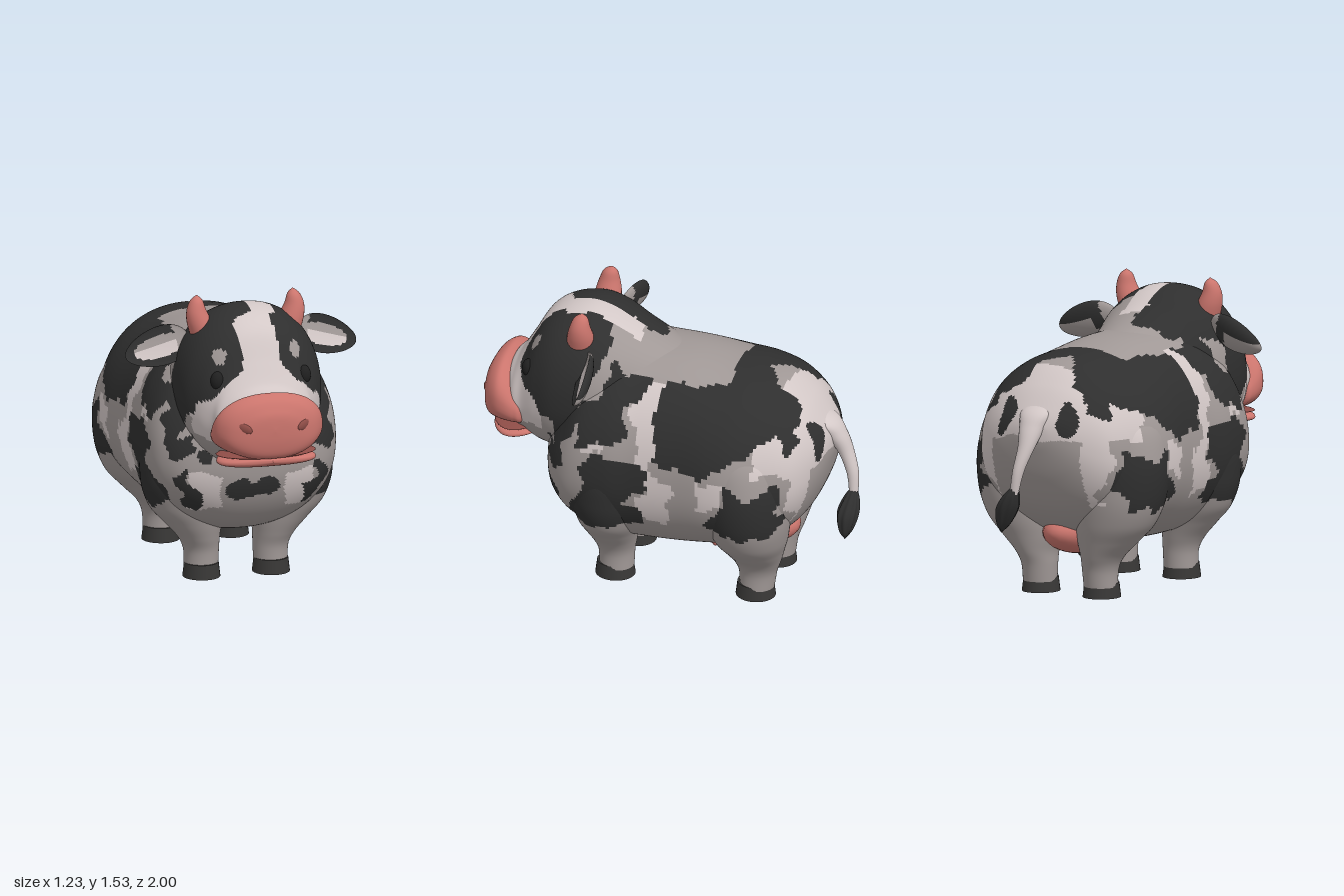
import * as THREE from 'three';

const mat = (name, color) => {
  const m = new THREE.MeshStandardMaterial({ color });
  m.name = name;
  return m;
};

// Cubic interpolation through all columns of a station table
function smoothRows(rows, steps) {
  const out = [], at = i => rows[Math.min(rows.length - 1, Math.max(0, i))];
  for (let i = 0; i < rows.length - 1; i++) {
    const a = at(i - 1), b = at(i), c = at(i + 1), d = at(i + 2);
    for (let k = 0; k < steps; k++) {
      const t = k / steps;
      out.push(b.map((p, j) => {
        const quad = 2 * a[j] - 5 * p + 4 * c[j] - d[j];
        const cube = 3 * (p - c[j]) + d[j] - a[j];
        return p + 0.5 * t * (c[j] - a[j] + t * (quad + t * cube));
      }));
    }
  }
  out.push(rows[rows.length - 1]);
  return out;
}

// Skin of closed rings; point(row, angle) gives one surface point
function loft(rows, steps, n, point) {
  const pos = [], idx = [], rings = smoothRows(rows, steps);
  rings.forEach((r, i) => {
    for (let j = 0; j < n; j++) {
      pos.push(...point(r, (j / n) * Math.PI * 2));
      if (i === rings.length - 1) continue;
      const a = i * n + j, b = i * n + (j + 1) % n;
      idx.push(a, b, a + n, b, b + n, a + n);
    }
  });
  const g = new THREE.BufferGeometry();
  g.setAttribute('position', new THREE.Float32BufferAttribute(pos, 3));
  g.setIndex(idx);
  g.computeVertexNormals();
  return g;
}

// Rings along z: [z, bottom, top, halfWidth]
const alongZ = (rows, steps, n, power = 0.92) => loft(rows, steps, n, ([z, yb, yt, w], a) => {
  const bend = v => Math.sign(v) * Math.abs(v) ** power;
  const ym = yb + 0.46 * (yt - yb), s = bend(Math.sin(a));
  return [Math.max(0, w) * bend(Math.cos(a)), ym + s * (s > 0 ? yt - ym : ym - yb), z];
});

// Rings along y: [y, centreX, centreZ, radiusX, radiusZ]
const alongY = (rows, steps, n, side = 1, ridge = 0) => loft(rows, steps, n, ([y, cx, cz, rx, rz], a) => {
  const k = 1 + ridge * Math.cos(8 * a);
  return [side * cx + Math.max(0, rx) * k * Math.cos(a), y, cz - Math.max(0, rz) * k * Math.sin(a)];
});

// Sort quads (triangle pairs) into material groups by their centre
function paint(g, classify) {
  const p = g.attributes.position, src = Array.from(g.index.array), sets = [[], [], []];
  for (let i = 0; i < src.length; i += 6) {
    const quad = src.slice(i, i + 6);
    const mean = f => quad.reduce((sum, k) => sum + f(k), 0) / 6;
    sets[classify(mean(k => p.getX(k)), mean(k => p.getY(k)), mean(k => p.getZ(k)))].push(...quad);
  }
  g.setIndex(sets.flat());
  let start = 0;
  sets.forEach((s, i) => { if (s.length) g.addGroup(start, s.length, i); start += s.length; });
  return g;
}

const inside = (poly, u, v) => {
  let hit = false;
  poly.forEach(([a, b], i) => {
    const [c, d] = poly[(i + 1) % poly.length];
    if ((b > v) !== (d > v) && u < ((c - a) * (v - b)) / (d - b) + a) hit = !hit;
  });
  return hit;
};

// Dark patches seen from the side (z, y)
const sideDark = [
  [[0.4, 0.77], [0.3, 0.85], [0.1, 0.84], [0.02, 0.8], [0.04, 0.68], [0.16, 0.6], [0.06, 0.54], [0.05, 0.45], [0.2, 0.44], [0.3, 0.4], [0.46, 0.46], [0.45, 0.56], [0.34, 0.64]],
  [[0.28, 1.28], [0.18, 1.31], [0.05, 1.24], [0.08, 1.14], [0.16, 1.1], [0.14, 0.97], [0.25, 0.92], [0.4, 0.88], [0.42, 1.05], [0.3, 1.12]],
  [[-0.02, 1.2], [-0.2, 1.3], [-0.58, 1.25], [-0.7, 1.14], [-0.76, 1.0], [-0.7, 0.95], [-0.62, 1.05], [-0.5, 0.97], [-0.4, 0.9], [-0.27, 0.82], [-0.02, 0.86], [0, 1.05]],
  [[-0.4, 0.79], [-0.52, 0.74], [-0.66, 0.8], [-0.67, 0.62], [-0.62, 0.47], [-0.54, 0.52], [-0.45, 0.47], [-0.3, 0.53], [-0.28, 0.58], [-0.38, 0.63]],
  [[0.59, 0.66], [0.54, 0.62], [0.5, 0.44], [0.54, 0.4], [0.59, 0.56]],
  [[0.6, 0.84], [0.52, 0.82], [0.48, 0.75], [0.54, 0.7], [0.6, 0.75]],
];
const headDark = [[0.82, 1.18], [0.8, 1.5], [0.5, 1.52], [0.34, 1.5], [0.27, 1.36], [0.38, 1.22], [0.42, 1.0], [0.48, 0.85], [0.5, 0.77], [0.57, 0.84], [0.63, 0.95], [0.73, 1.06]];
// Dark patches seen from above (x, z)
const saddle = [[-0.01, -0.34], [0.22, -0.33], [0.25, -0.2], [0.38, -0.02], [0.55, -0.02], [0.55, -0.5], [0.4, -0.62], [0.32, -0.74], [0.15, -0.7], [0.1, -0.58], [-0.01, -0.49]];
const crown = [[-0.3, 0.3], [-0.25, 0.1], [-0.05, 0.06], [0, 0.08], [0, 0.55], [-0.1, 0.6], [-0.4, 0.5]];
// Pale patches seen from the side (z, y)
const sideLight = [
  [[0.16, 1.26], [0.0, 1.33], [-0.04, 1.1], [0.0, 0.8], [-0.12, 0.74], [-0.08, 0.5], [0.1, 0.52], [0.02, 0.7], [0.08, 0.9]],
  [[-0.6, 1.24], [-0.72, 1.16], [-0.88, 0.9], [-0.8, 0.55], [-0.7, 0.5], [-0.7, 0.9], [-0.55, 0.84], [-0.52, 0.95]],
  [[-0.25, 0.8], [-0.4, 0.82], [-0.36, 0.68], [-0.26, 0.62]],
  [[0.36, 0.9], [0.26, 0.9], [0.26, 0.86], [0.36, 0.86]],
];

// Coat pattern: 0 grey, 1 pale, 2 dark
function coat(px, py, pz) {
  const x = px + 0.012 * Math.sin(31 * pz + 14 * py);
  const y = py + 0.014 * Math.sin(27 * pz + 19 * px) + 0.008 * Math.sin(61 * pz);
  const z = pz + 0.014 * Math.sin(29 * py + 11 * px) + 0.008 * Math.sin(57 * py);
  const ax = Math.abs(x), flank = ax > 0.27;
  const blaze = z > 0.55 ? 0.1 + 0.9 * Math.max(0, 1.22 - y) : (x < 0 ? 0 : 0.12);
  if (ax > blaze && inside(headDark, z, y)) {
    const fleck = z > 0.5 && Math.hypot((ax - 0.2) * 1.5, y - 1.28) < 0.045;
    return fleck ? 0 : 2;
  }
  if (y > 1.25 && inside(crown, x, z)) return 2;
  if (z < 0.05 && y > 1.05 && inside(saddle, ax, z)) return 2;
  if (flank && sideDark.some(p => inside(p, z, y))) return 2;
  // chest patch, throat spots and rump streaks
  if (z > 0.4 && y < 0.62 && (Math.hypot(ax - 0.08, (y - 0.55) * 1.1) < 0.065 || (ax < 0.1 && Math.abs(y - 0.525) < 0.04))) return 2;
  if (z > 0.45 && Math.hypot(ax - 0.27, y - 0.71) < 0.035) return 2;
  if (z < -0.6 && Math.hypot(ax - 0.18, (y - 0.96 + 0.5 * (ax - 0.18)) * 0.6) < 0.055) return 2;
  // pale blaze, cheeks, poll, chest and rump
  if (z > 0.45 && ax < blaze + 0.1 && y > 0.95) return 1;
  if (z > 0.62 && y > 0.85) return 1;
  if (z > 0.1 && z < 0.5 && x > 0 && x < 0.12 && y > 1.35) return 1;
  if (z > 0.4 && y < 0.63 && y > 0.43 && ax > 0.17 && ax < 0.33) return 1;
  if (z < -0.62 && y > 0.85) return 1;
  return flank && sideLight.some(p => inside(p, z, y)) ? 1 : 0;
}

export function createModel() {
  const cow = new THREE.Group();
  cow.name = 'cow';
  const grey = mat('coatGrey', 0xa09896), pale = mat('coatPale', 0xd3c8c7), dark = mat('coatDark', 0x2f2f2f);
  const pink = mat('pinkSkin', 0xcb756d), deep = mat('nostrilPink', 0x8f4d47);
  const hoofMat = mat('hoofGrey', 0x383736), eyeMat = mat('eyeBlack', 0x202020);
  const hide = [grey, pale, dark];
  const add = (name, g, m) => {
    const mesh = new THREE.Mesh(g, m);
    mesh.name = name;
    cow.add(mesh);
    return mesh;
  };
  const ball = (name, m, pos, scale) => {
    const mesh = add(name, new THREE.SphereGeometry(1, 24, 16), m);
    mesh.position.set(...pos);
    mesh.scale.set(...scale);
    return mesh;
  };

  // Barrel body
  add('body', paint(alongZ([
    [-0.85, 0.86, 0.9, 0], [-0.84, 0.79, 0.95, 0.11], [-0.8, 0.64, 1.02, 0.25], [-0.72, 0.48, 1.12, 0.38],
    [-0.6, 0.36, 1.21, 0.46], [-0.45, 0.29, 1.245, 0.525], [-0.3, 0.27, 1.26, 0.535], [-0.1, 0.24, 1.29, 0.51],
    [0.1, 0.23, 1.3, 0.5], [0.25, 0.24, 1.3, 0.51], [0.4, 0.28, 1.24, 0.495], [0.5, 0.34, 1.1, 0.45],
    [0.58, 0.44, 0.95, 0.36], [0.63, 0.56, 0.82, 0.2], [0.645, 0.69, 0.7, 0]], 11, 144), coat), hide);

  // Head and neck
  add('head', paint(alongZ([
    [-0.12, 0.95, 1.27, 0.15], [0.05, 0.8, 1.315, 0.27], [0.2, 0.72, 1.385, 0.33], [0.33, 0.69, 1.455, 0.37],
    [0.45, 0.67, 1.482, 0.38], [0.58, 0.66, 1.455, 0.365], [0.68, 0.67, 1.385, 0.32], [0.76, 0.71, 1.25, 0.27],
    [0.82, 0.76, 1.15, 0.25], [0.87, 0.83, 1.09, 0.17], [0.9, 0.94, 0.96, 0]], 11, 120), coat), hide);

  // Muzzle and lower lip
  add('muzzle', alongZ([[0.72, 0.88, 0.92, 0.15], [0.76, 0.8, 0.98, 0.265], [0.8, 0.785, 1.03, 0.285], [0.85, 0.78, 1.09, 0.29],
    [0.9, 0.78, 1.12, 0.277], [0.95, 0.785, 1.095, 0.235], [0.98, 0.81, 1.05, 0.175], [0.995, 0.87, 1.01, 0.1],
    [1, 0.94, 0.95, 0]], 6, 56, 0.85), pink);
  add('lowerLip', alongZ([[0.68, 0.76, 0.77, 0.18], [0.76, 0.73, 0.79, 0.24], [0.83, 0.725, 0.79, 0.262], [0.89, 0.73, 0.788, 0.232],
    [0.935, 0.745, 0.785, 0.15], [0.955, 0.765, 0.775, 0]], 6, 40, 0.8), pink);
  ball('mouthLine', deep, [0, 0.79, 0.82], [0.265, 0.012, 0.14]);

  // Udder
  ball('udder', pink, [0, 0.315, -0.405], [0.15, 0.11, 0.25]).rotation.x = 0.1;

  for (const s of [1, -1]) {
    const side = s > 0 ? 'left' : 'right';
    ball(side + 'Eye', eyeMat, [s * 0.23, 1.155, 0.727], [0.036, 0.05, 0.036]);
    const nostril = ball(side + 'Nostril', deep, [s * 0.155, 0.962, 0.978], [0.04, 0.024, 0.012]);
    nostril.rotation.set(0, s * 0.4, s * 0.5);

    // Cupped leaf-shaped ear
    const ear = paint(new THREE.SphereGeometry(1, 48, 32), (x, y, z) => {
      const out = s * x;
      if (out < -0.6) return 0;
      if (z > 0) return out * out + 1.6 * y * y < 0.55 ? (y > 0.05 ? 0 : 1) : 2;
      return y < 0.3 && out > -0.3 ? 0 : 2;
    });
    const p = ear.attributes.position;
    for (let i = 0; i < p.count; i++) {
      const x = p.getX(i), z = p.getZ(i);
      p.setXYZ(i, x * 0.172, p.getY(i) * 0.1 * (1 - 0.2 * s * x), (z > 0 ? -0.25 * z : z) * 0.055);
    }
    ear.computeVertexNormals();
    const earMesh = add(side + 'Ear', ear, hide);
    earMesh.position.set(s * 0.45, 1.262, 0.385);
    earMesh.rotation.set(-0.4, s * 0.22, s * -0.22);

    // Horn
    add(side + 'Horn', alongY([[1.33, 0.22, 0.45, 0.072, 0.075], [1.4, 0.245, 0.447, 0.065, 0.068],
      [1.46, 0.26, 0.445, 0.05, 0.053], [1.51, 0.258, 0.44, 0.031, 0.035], [1.537, 0.255, 0.435, 0, 0]], 6, 24, s), pink);

    // Teats
    ball(side + 'FrontTeat', pink, [s * 0.065, 0.225, -0.22], [0.024, 0.048, 0.024]);
    ball(side + 'RearTeat', dark, [s * 0.065, 0.205, -0.285], [0.018, 0.038, 0.018]);

    // Legs with shoulder and haunch
    const legs = {
      FrontLeg: [[0.06, 0.185, 0.27, 0.088, 0.09], [0.15, 0.185, 0.27, 0.092, 0.095], [0.22, 0.2, 0.275, 0.11, 0.115],
        [0.3, 0.23, 0.28, 0.15, 0.14], [0.4, 0.27, 0.28, 0.195, 0.17], [0.55, 0.3, 0.28, 0.205, 0.2],
        [0.75, 0.3, 0.27, 0.18, 0.18], [0.9, 0.28, 0.27, 0, 0]],
      HindLeg: [[0.06, 0.185, -0.48, 0.088, 0.09], [0.15, 0.185, -0.485, 0.092, 0.1], [0.22, 0.2, -0.485, 0.11, 0.125],
        [0.3, 0.23, -0.48, 0.16, 0.155], [0.4, 0.27, -0.47, 0.21, 0.195], [0.55, 0.3, -0.46, 0.235, 0.225],
        [0.75, 0.3, -0.45, 0.24, 0.23], [0.95, 0.27, -0.43, 0.2, 0.2], [1.1, 0.25, -0.42, 0, 0]],
    };
    for (const [name, rows] of Object.entries(legs)) {
      add(side + name, paint(alongY(rows, 9, 60, s), coat), hide);
      const hoof = add(side + name + 'Hoof', new THREE.CylinderGeometry(0.088, 0.097, 0.075, 28), hoofMat);
      hoof.position.set(s * 0.185, 0.0425, rows[0][2] + 0.008);
      hoof.scale.z = 1.07;
    }
  }

  // Tail and tuft
  add('tail', alongY([[0.58, 0.04, -0.95, 0.022, 0.022], [0.7, 0.02, -0.94, 0.03, 0.032], [0.82, 0, -0.895, 0.045, 0.044],
    [0.92, 0, -0.835, 0.07, 0.066], [1.0, 0, -0.77, 0.09, 0.07], [1.06, 0, -0.69, 0, 0]], 6, 24), pale);
  add('tailTuft', alongY([[0.37, 0.13, -0.93, 0, 0], [0.42, 0.115, -0.93, 0.035, 0.035], [0.5, 0.09, -0.935, 0.058, 0.054],
    [0.57, 0.06, -0.945, 0.042, 0.042], [0.63, 0.03, -0.95, 0.01, 0.01]], 6, 48, 1, 0.08), dark);
  return cow;
}
